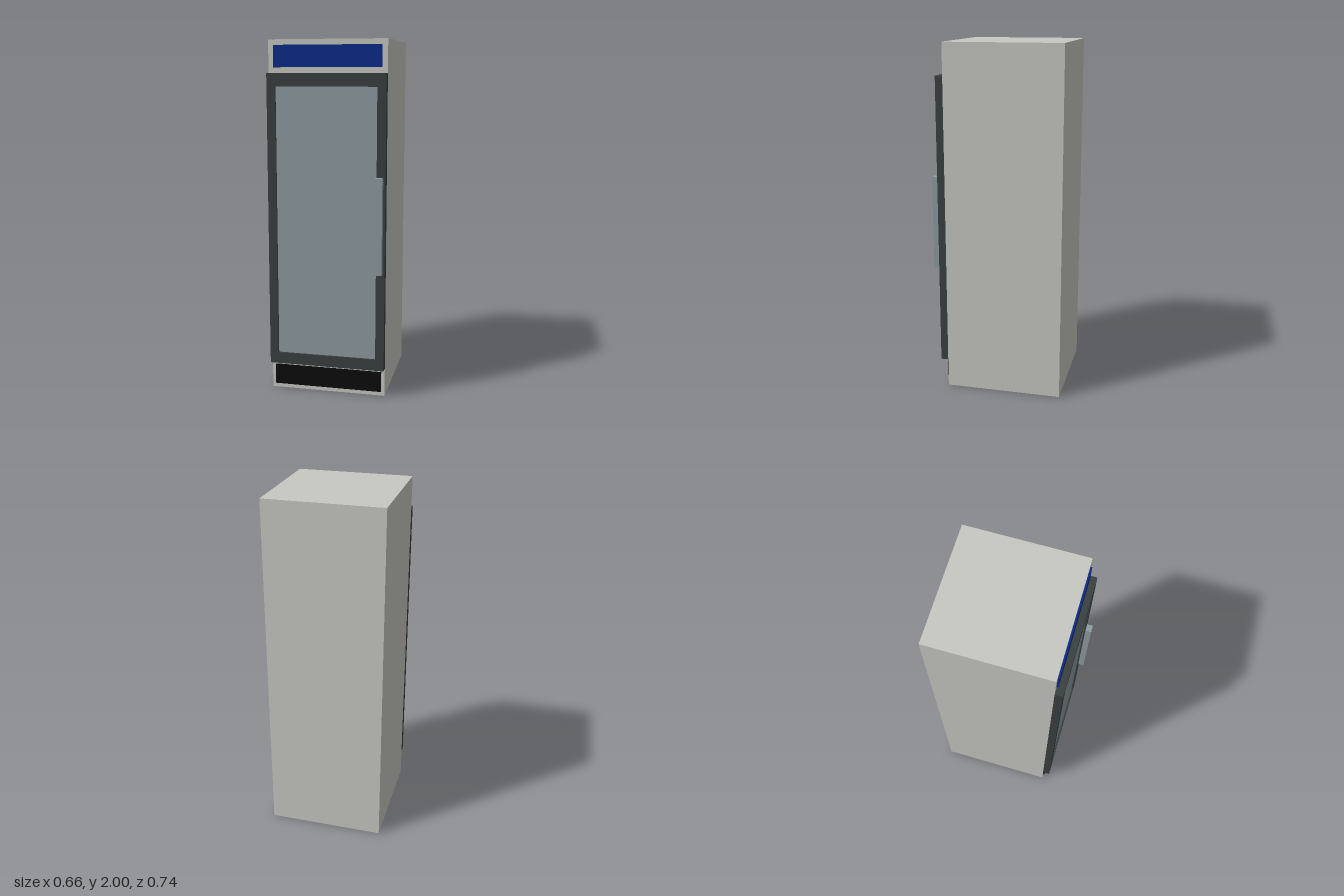
import * as THREE from 'three';

const paint = (name, color) => {
  const m = new THREE.MeshStandardMaterial({ color });
  m.name = name;
  return m;
};

export function createModel() {
  const shell = paint('light grey shell', 0xc8c8c3);
  const charcoal = paint('charcoal frame', 0x3a4040);
  const glass = paint('blue grey glass', 0x8e9ca2);
  const blue = paint('blue panel', 0x0a2c8a);
  const black = paint('black grille', 0x0c0c0c);

  const model = new THREE.Group();
  model.name = 'displayFridge';

  // Box given by its minimum and maximum corners
  const box = (name, material, [x0, y0, z0], [x1, y1, z1]) => {
    const mesh = new THREE.Mesh(new THREE.BoxGeometry(x1 - x0, y1 - y0, z1 - z0), material);
    mesh.position.set((x0 + x1) / 2, (y0 + y1) / 2, (z0 + z1) / 2);
    mesh.name = name;
    model.add(mesh);
  };

  const front = 0.295; // cabinet front plane
  const doorFront = 0.337;

  // Cabinet with the thin panels above and below the door
  box('cabinet', shell, [-0.332, 0, -0.371], [0.332, 2, front]);
  box('headerPanel', blue, [-0.302, 1.85, front], [0.302, 1.97, 0.304]);
  box('baseGrille', black, [-0.312, 0.025, front], [0.312, 0.142, 0.304]);

  // Door frame: a rectangle with a rectangular opening
  const rect = (path, x0, y0, x1, y1) =>
    path.moveTo(x0, y0).lineTo(x1, y0).lineTo(x1, y1).lineTo(x0, y1).closePath();
  const outline = rect(new THREE.Shape(), -0.332, 0.163, 0.332, 1.82);
  outline.holes.push(rect(new THREE.Path(), -0.283, 0.228, 0.283, 1.747));
  const frame = new THREE.Mesh(
    new THREE.ExtrudeGeometry(outline, { depth: doorFront - front, bevelEnabled: false }),
    charcoal
  );
  frame.position.z = front;
  frame.name = 'doorFrame';
  model.add(frame);

  // Glass set slightly back in the frame
  box('doorGlass', glass, [-0.283, 0.228, front], [0.283, 1.747, 0.327]);

  // Upright handle on the opening side
  box('doorHandle', glass, [0.278, 0.725, doorFront], [0.32, 1.26, 0.371]);

  return model;
}
